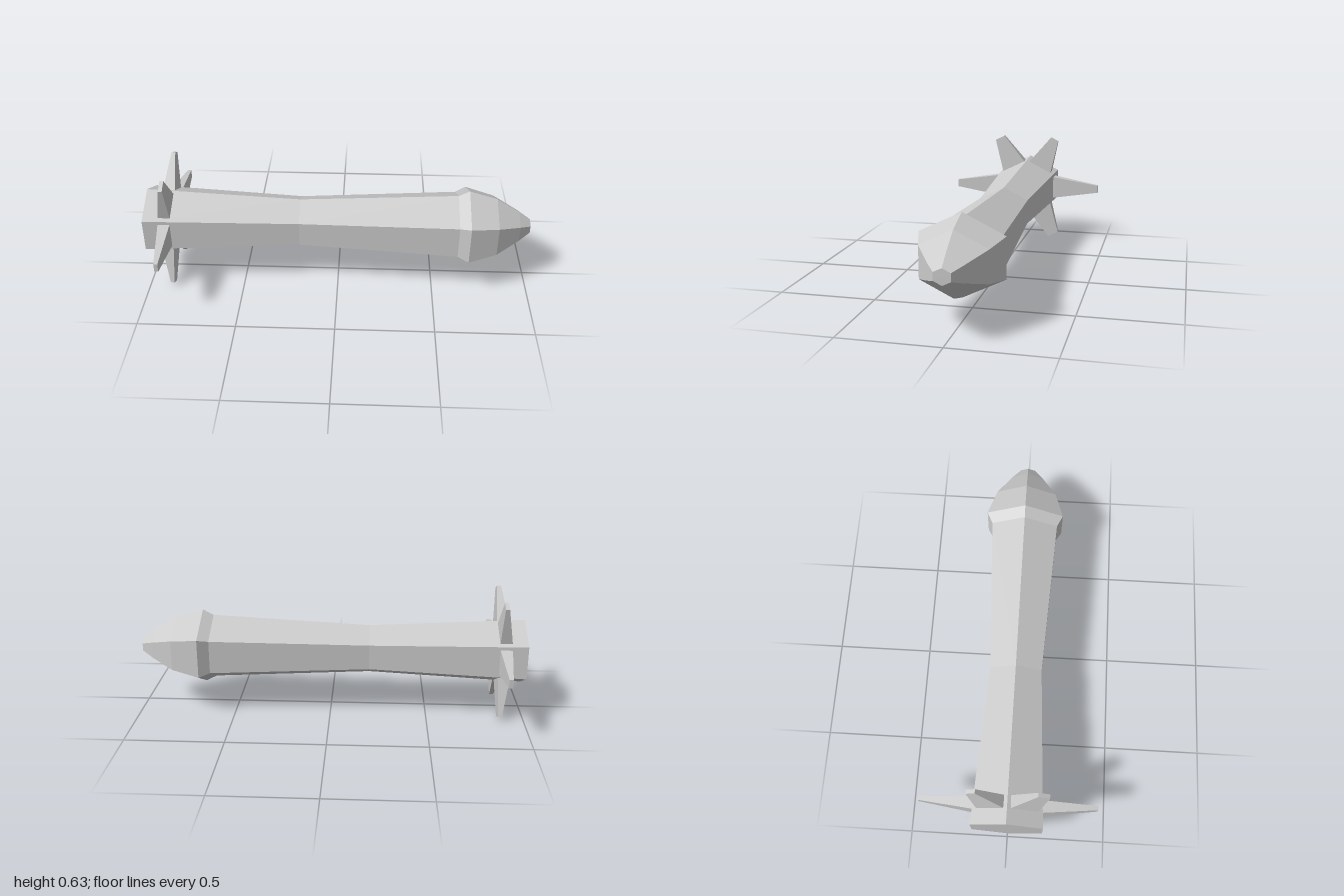
import * as THREE from 'three';

const AXIS_Y = 0.317;
const material = new THREE.MeshStandardMaterial({ color: 0xcccccc, flatShading: true });

function faceted(geometry) {
  const g = geometry.index ? geometry.toNonIndexed() : geometry;
  g.computeVertexNormals();
  return g;
}

// Six-sided solid along x from [x, radius] pairs, ridge at top and bottom, widened to z
function hexSolid(name, profile) {
  const points = profile.map(([x, r]) => new THREE.Vector2(r, x));
  const g = new THREE.LatheGeometry(points, 6, Math.PI / 2);
  g.rotateZ(-Math.PI / 2);
  g.scale(1, 1, 1.175);
  const mesh = new THREE.Mesh(faceted(g), material);
  mesh.name = name;
  mesh.position.y = AXIS_Y;
  return mesh;
}

// Tapered fin between two (z, y) points measured from the body axis
function fin(name, root, tip, rootHalf, tipHalf) {
  const dir = new THREE.Vector2(tip[0] - root[0], tip[1] - root[1]).normalize();
  const g = new THREE.BoxGeometry(1, 1, 1);
  const p = g.attributes.position;
  for (let i = 0; i < p.count; i++) {
    const isTip = p.getY(i) > 0;
    const side = Math.sign(p.getZ(i)) * (isTip ? tipHalf : rootHalf);
    const [z, y] = isTip ? tip : root;
    const front = isTip ? -0.867 : -0.86;
    const back = isTip ? -0.887 : -0.922;
    p.setXYZ(i, p.getX(i) > 0 ? front : back, y - dir.x * side, z + dir.y * side);
  }
  const mesh = new THREE.Mesh(faceted(g), material);
  mesh.name = name;
  mesh.position.y = AXIS_Y;
  return mesh;
}

export function createModel() {
  const group = new THREE.Group();
  group.name = 'missile';

  // Waisted body, closed at the tail
  group.add(hexSolid('body', [[-1, 0], [-1, 0.173], [-0.2, 0.13], [0.62, 0.173], [0.62, 0]]));

  // Flared nose with a blunt tip
  group.add(hexSolid('nose', [[0.62, 0], [0.62, 0.173], [0.675, 0.202], [0.82, 0.158],
    [0.94, 0.083], [1, 0.039], [1, 0]]));

  // Tail fins: two level, four diagonal
  const fins = new THREE.Group();
  fins.name = 'tailFins';
  for (const s of [1, -1]) {
    const end = s > 0 ? 'Front' : 'Back';
    fins.add(fin('levelFin' + end, [s * 0.165, 0.001], [s * 0.444, 0.001], 0.066, 0.022));
    for (const v of [1, -1]) {
      const tipHalf = s === v ? 0.031 : s > 0 ? 0.028 : 0.025;
      fins.add(fin((v > 0 ? 'upperFin' : 'lowerFin') + end,
        [s * 0.083, v * 0.125], [s * 0.171, v * 0.3], 0.074, s < 0 && v < 0 ? 0.034 : tipHalf));
    }
  }
  group.add(fins);
  return group;
}
